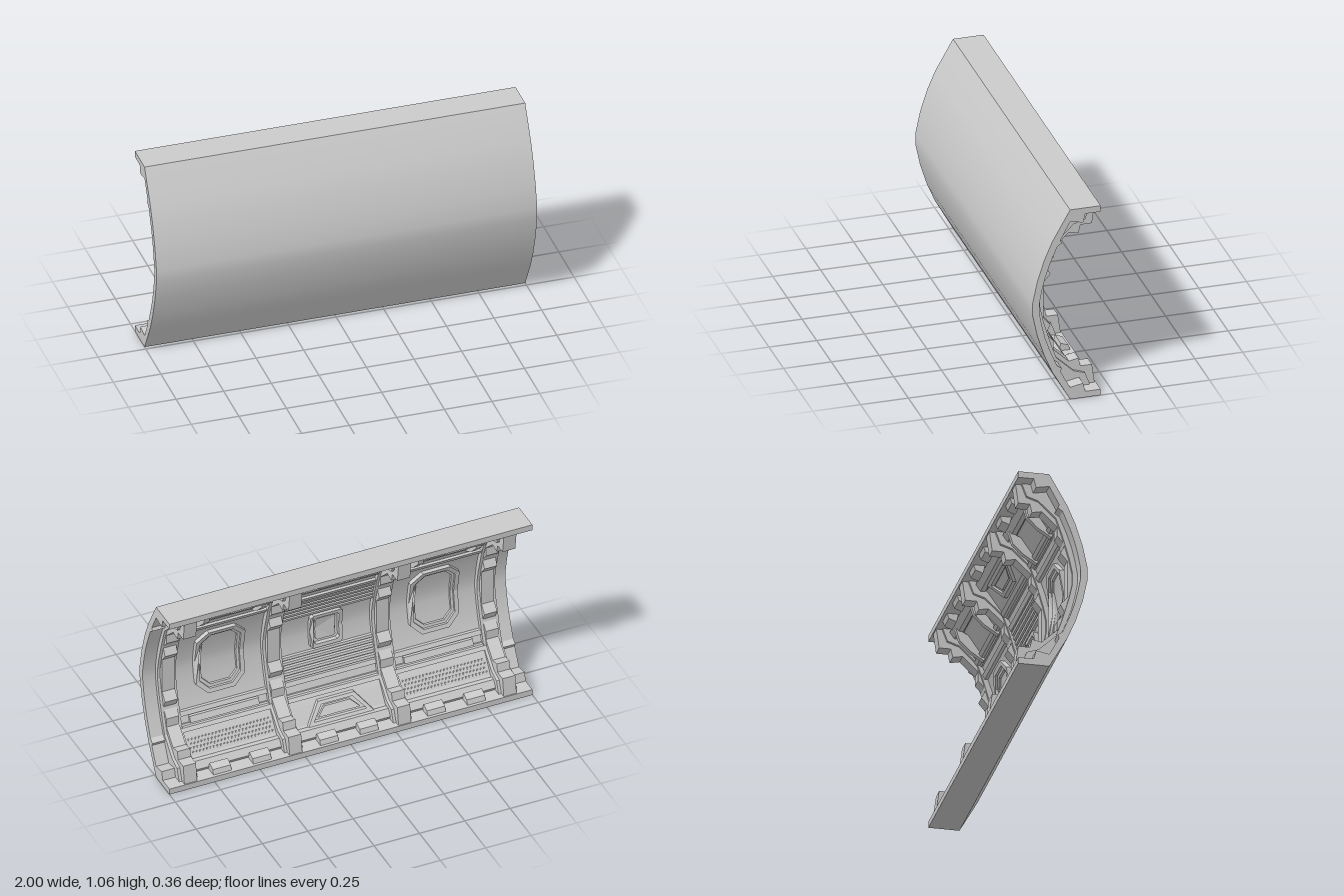
import * as THREE from 'three';
import { toCreasedNormals } from 'three/addons/utils/BufferGeometryUtils.js';

const MID = 0.53; // height of the mirror plane between upper and lower half
const material = new THREE.MeshStandardMaterial({ color: 0xcccccc });

// Upper half profiles as [z, y], running from the top to the middle
const OUTER = [[-0.02, 1.06], [0.073, 0.895], [0.115, 0.797], [0.152, 0.68], [0.177, 0.56]];
const INNER = [[-0.18, 1.06], [-0.18, 1.027], [-0.1, 1.027], [-0.088, 0.98], [-0.02, 0.993], [0.031, 0.897],
  [0.023, 0.88], [0.048, 0.863], [0.087, 0.768], [0.11, 0.7], [0.127, 0.63], [0.141, 0.555]];
const RIB_INNER = [[-0.176, 1.04], [-0.16, 0.925], [-0.1, 0.925], [-0.09, 0.88], [-0.04, 0.89], [0.04, 0.815],
  [0.04, 0.765], [0.08, 0.72], [0.057, 0.672], [0.092, 0.63]];
const BASE_INNER = [[-0.15, 1.04], [-0.12, 0.96], [-0.06, 0.94], [0.03, 0.855], [0.06, 0.77], [0.098, 0.64], [0.115, 0.56]];
const RIB_OUTER = [[-0.02, 1.035], [0.045, 0.9], [0.1, 0.775], [0.14, 0.64], [0.158, 0.56]];

const flip = (pts) => pts.map(([z, y]) => [z, 2 * MID - y]);
const mirrored = (pts) => [...pts, ...flip(pts).reverse()];
const ring = (outer, inner) => [...mirrored(outer), ...mirrored(inner).reverse()];

// Depth of the inside surface at height y
const SURFACE = [[0, 0.143], [0.1, 0.127], [0.17, 0.11], [0.238, 0.087], [0.3, 0.055], [0.36, 0.01], [0.44, -0.045], [0.5, -0.09]];
function surfaceZ(y) {
  const d = Math.abs(y - MID);
  const i = Math.max(1, SURFACE.findIndex(([k]) => k >= d));
  const [a, b] = [SURFACE[i - 1], SURFACE[i]];
  return THREE.MathUtils.mapLinear(d, a[0], b[0], a[1], b[1]);
}

const toShape = (pts) => new THREE.Shape(pts.map(([a, b]) => new THREE.Vector2(a, b)));

export function createModel() {
  const model = new THREE.Group();

  function add(name, geometry) {
    const mesh = new THREE.Mesh(geometry, material);
    mesh.name = name;
    model.add(mesh);
  }

  // Sweep a [z, y] profile along x, centred on x
  function sweep(name, pts, x, width, crease = 0) {
    const geo = new THREE.ExtrudeGeometry(toShape(pts), { depth: width, bevelEnabled: false });
    geo.rotateY(-Math.PI / 2).translate(x + width / 2, 0, 0);
    add(name, crease ? toCreasedNormals(geo, crease) : geo);
  }

  // Raise an [x, y] outline from the inside surface; an inner outline cuts a hole
  function relief(name, pts, height, hole) {
    const shape = toShape(pts);
    if (hole) shape.holes.push(toShape(hole));
    const geo = new THREE.ExtrudeGeometry(shape, { depth: height + 0.012, bevelEnabled: false });
    geo.translate(0, 0, -height);
    const p = geo.attributes.position;
    for (let i = 0; i < p.count; i++) p.setZ(i, p.getZ(i) + surfaceZ(p.getY(i)));
    geo.computeVertexNormals();
    add(name, geo);
  }

  const rect = (x, y, w, h) => [[x - w / 2, y - h / 2], [x + w / 2, y - h / 2], [x + w / 2, y + h / 2], [x - w / 2, y + h / 2]];

  // Rectangle with cut corners and split long sides, so that it bends with the wall
  function octagon(x, y, w, h, cut) {
    const a = w / 2, b = h / 2;
    return [[-a + cut, -b], [a - cut, -b], [a, -b + cut], [a, 0], [a, b - cut], [a - cut, b], [-a + cut, b],
      [-a, b - cut], [-a, 0], [-a, -b + cut]].map(([u, v]) => [x + u, y + v]);
  }

  // Curved outer wall with a lip along the top and bottom
  sweep('shell', ring(OUTER, INNER), 0, 2, 0.4);

  // Four ribs, each with a broader base
  for (const x of [-0.88, -0.3, 0.3, 0.88]) {
    sweep('rib', ring(RIB_OUTER, RIB_INNER), x, 0.07);
    sweep('ribBase', ring(RIB_OUTER, BASE_INNER), x, 0.1);
  }

  const bays = [-0.59, 0, 0.59];
  for (const x of bays) {
    const w = 0.5;
    for (const s of [1, -1]) {
      const half = (pts) => (s > 0 ? pts : flip(pts).reverse());
      const row = (d) => MID + s * d;

      // Sloping panel, rails and lip blocks
      sweep('slopedPanel', half([[-0.03, 1.0], [-0.055, 0.98], [-0.045, 0.97], [0.01, 0.89], [0.052, 0.835], [0.07, 0.835], [0.03, 0.91]].reverse()), x, w);
      sweep('lipRail', half([[-0.1, 1.03], [-0.06, 1.0], [-0.06, 0.975], [-0.085, 0.975], [-0.11, 1.01]].reverse()), x, w);
      relief('wallRail', rect(x, row(0.25), w, 0.022), 0.016);
      relief('wallRail', rect(x, row(0.322), w, 0.018), 0.014);
      for (const dx of [-0.11, 0.11]) {
        sweep('lipBlock', half([[-0.165, 1.03], [-0.155, 1.0], [-0.115, 0.985], [-0.105, 1.03]].reverse()), x + dx, 0.1);
      }

      // Middle bay: corrugated bands and a trapezoid frame
      if (x === 0) {
        for (let i = 0; i < 5; i++) relief('corrugation', rect(0, row(0.12 + i * 0.026), w, 0.014), 0.016);
        const trapezoid = (a, b, d0, d1) => {
          const pts = [[-a, row(d0)], [a, row(d0)], [b, row(d1)], [-b, row(d1)]];
          return s > 0 ? pts : pts.reverse();
        };
        relief('trapezoidFrame', trapezoid(0.1, 0.18, 0.35, 0.445), 0.018, trapezoid(0.085, 0.145, 0.365, 0.43));
        relief('trapezoidPlate', trapezoid(0.07, 0.115, 0.378, 0.418), 0.012);
      }
    }

    if (x === 0) {
      // Small square frame
      relief('smallFrame', octagon(0, MID, 0.18, 0.2, 0.015), 0.022, octagon(0, MID, 0.14, 0.16, 0.012));
      relief('smallPanel', octagon(0, MID, 0.11, 0.13, 0.01), 0.008);
      continue;
    }

    // Tall window frame
    relief('windowFrame', octagon(x, 0.54, 0.27, 0.38, 0.06), 0.024, octagon(x, 0.54, 0.225, 0.335, 0.05));
    relief('windowTrim', octagon(x, 0.54, 0.225, 0.335, 0.05), 0.012, octagon(x, 0.54, 0.195, 0.305, 0.043));

    // Long plate and studded tread on the lower slope
    relief('longPlate', rect(x, 0.243, 0.38, 0.03), 0.012);
    for (let r = 0; r < 4; r++) {
      for (let i = 0; i < 24; i++) {
        relief('stud', rect(x - 0.225 + i * 0.019 + (r % 2) * 0.009, 0.105 + r * 0.018, 0.007, 0.007), 0.006);
      }
    }

    // Hanging brackets on the upper slope
    for (const dx of [-0.16, 0.16]) {
      sweep('bracket', [[-0.1, 0.99], [-0.08, 0.925], [-0.025, 0.87], [0.045, 0.825], [0.06, 0.85], [0, 0.94]], x + dx, 0.03);
    }
  }

  return model;
}
